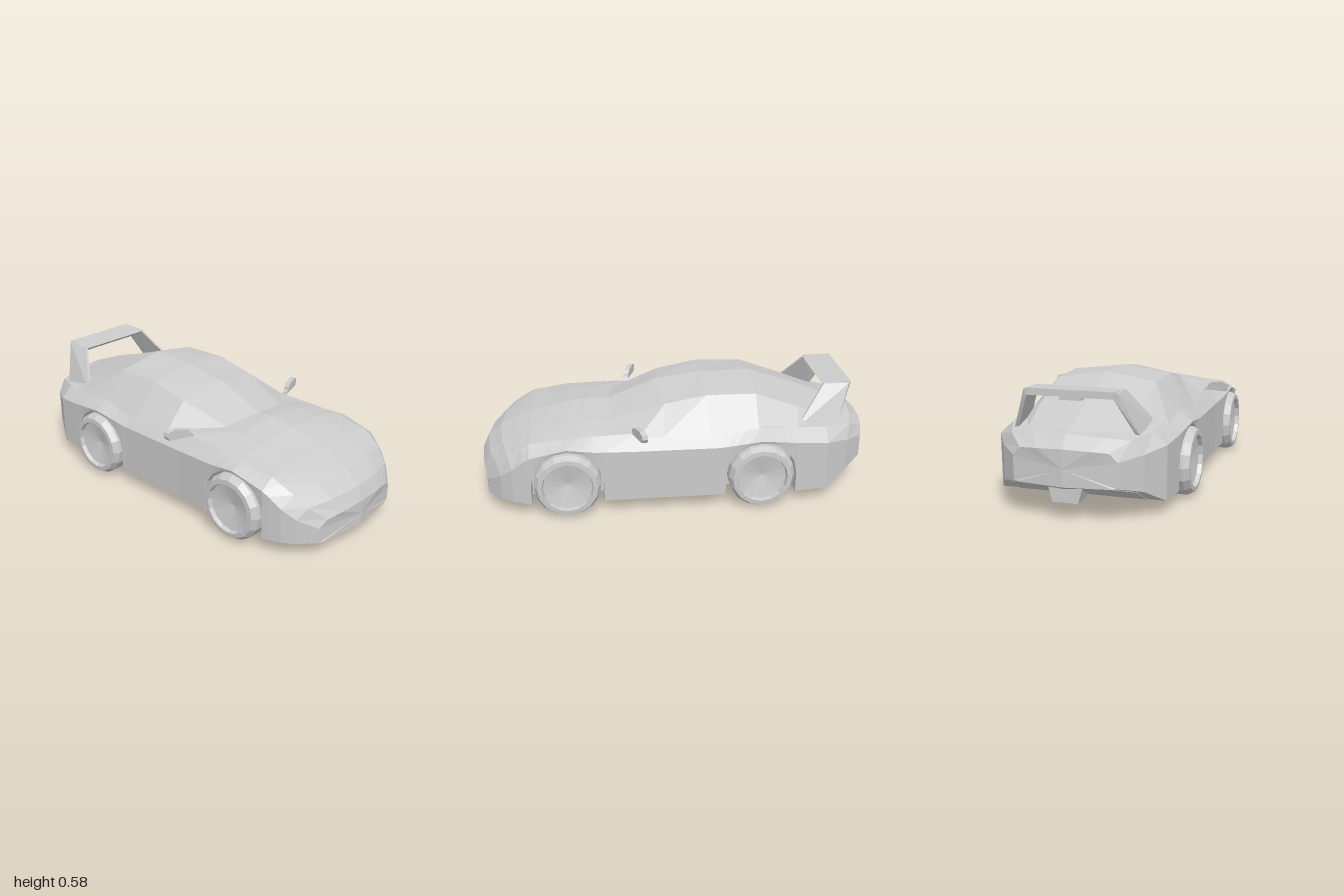
import * as THREE from 'three';
import { ConvexGeometry } from 'three/addons/geometries/ConvexGeometry.js';

const material = new THREE.MeshStandardMaterial({ color: 0xcccccc, flatShading: true });
const thin = new THREE.MeshStandardMaterial({ color: 0xcccccc, flatShading: true, side: THREE.DoubleSide });

const WHEELS_Z = [0.56, -0.41];
const ARCH_R = 0.18, AXLE_Y = 0.167;

// Body sections, front to back: z, half width, top, shoulder, waist, floor, bow
const BODY = [
  [1.0, 0.28, 0.2, 0.185, 0.15, 0.07, 0.04],
  [0.97, 0.36, 0.265, 0.25, 0.2, 0.07, 0.08],
  [0.9, 0.4, 0.325, 0.305, 0.25, 0.07, 0.07],
  [0.81, 0.42, 0.365, 0.345, 0.3, 0.066, 0.04],
  [0.74, 0.428, 0.39, 0.365, 0.32, 0.065, 0],
  [0.56, 0.437, 0.438, 0.39, 0.36, 0.065, 0],
  [0.42, 0.432, 0.455, 0.395, 0.34, 0.065, 0],
  [0.2, 0.422, 0.425, 0.4, 0.33, 0.063, 0],
  [-0.2, 0.425, 0.425, 0.405, 0.33, 0.063, 0],
  [-0.41, 0.438, 0.43, 0.405, 0.36, 0.063, 0],
  [-0.6, 0.422, 0.43, 0.39, 0.335, 0.06, 0],
  [-0.75, 0.405, 0.415, 0.38, 0.32, 0.06, 0],
  [-0.94, 0.335, 0.385, 0.362, 0.3, 0.13, -0.07],
  [-1.0, 0.245, 0.33, 0.32, 0.28, 0.16, -0.035],
];

// Skins a list of equal-length rows of points, with optional end caps
function skin(rows, closed, caps) {
  const n = rows[0].length, pos = [];
  const tri = (...pts) => pts.forEach(p => pos.push(...p));
  for (let r = 0; r < rows.length - 1; r++) {
    for (let i = 0; i < (closed ? n : n - 1); i++) {
      const j = (i + 1) % n;
      const a = rows[r][i], b = rows[r][j], c = rows[r + 1][j], d = rows[r + 1][i];
      tri(a, b, d);
      tri(b, c, d);
    }
  }
  (caps || []).forEach((centre, k) => {
    const ring = rows[k ? rows.length - 1 : 0];
    for (let i = 0; i < n; i++) {
      const a = ring[i], b = ring[(i + 1) % n];
      if (k) tri(centre, a, b); else tri(centre, b, a);
    }
  });
  const g = new THREE.BufferGeometry();
  g.setAttribute('position', new THREE.Float32BufferAttribute(pos, 3));
  g.computeVertexNormals();
  return g;
}

function sectionAt(z) {
  let k = 0;
  while (k < BODY.length - 2 && BODY[k + 1][0] > z) k++;
  const a = BODY[k], b = BODY[k + 1], t = (z - a[0]) / (b[0] - a[0]);
  return a.map((v, i) => v + (b[i] - v) * t);
}

// Closed ring of one body section; lip is the lower edge of the flank
function bodyRing([z, w, top, shoulder, waist, floor, bow], lip) {
  const xi = Math.min(0.31, w * 0.9), edge = lip ?? floor + 0.003;
  const half = [
    [0, top], [w * 0.5, top * 0.55 + shoulder * 0.45], [w * 0.84, shoulder],
    [w, Math.max(waist, edge + 0.008)], [w * 0.99, edge], [xi, edge], [xi, floor], [0, floor],
  ];
  const ring = half.concat(half.slice(1, -1).reverse().map(([x, y]) => [-x, y]));
  return ring.map(([x, y]) => [x, y, z - bow * (x / w) ** 2]);
}

function bodyGeometry() {
  const stations = BODY.filter(s => WHEELS_Z.every(c => Math.abs(s[0] - c) > ARCH_R + 0.001))
    .map(s => ({ s }));
  // Wheel arches: flank edge follows a half circle over each wheel
  for (const c of WHEELS_Z) {
    for (let i = 0; i <= 8; i++) {
      const a = (i / 8) * Math.PI, z = c + ARCH_R * Math.cos(a);
      const s = sectionAt(z), arch = { s, lip: AXLE_Y + ARCH_R * Math.sin(a) };
      if (i === 0) stations.push({ s });
      stations.push(arch);
      if (i === 8) stations.push({ s });
    }
  }
  stations.sort((a, b) => b.s[0] - a.s[0]);
  return skin(stations.map(({ s, lip }) => bodyRing(s, lip)), true, [[0, 0.13, 1.0], [0, 0.24, -1.0]]);
}

// Cabin rows: centre, roof edge and window base as [x, y, z]
function cabinGeometry() {
  const rows = [
    [[0, 0.435, 0.375], [0.2, 0.415, 0.33], [0.375, 0.385, 0.2]],
    [[0, 0.545, 0.09], [0.25, 0.505, 0.06], [0.385, 0.385, 0.08]],
    [[0, 0.575, -0.15], [0.255, 0.545, -0.15], [0.385, 0.385, -0.15]],
    [[0, 0.58, -0.4], [0.25, 0.54, -0.4], [0.385, 0.385, -0.4]],
    [[0, 0.49, -0.66], [0.25, 0.46, -0.62], [0.37, 0.38, -0.6]],
    [[0, 0.382, -0.93], [0.22, 0.37, -0.87], [0.33, 0.365, -0.76]],
  ];
  return skin(rows.map(([c, m, b]) =>
    [[-b[0], b[1], b[2]], [-m[0], m[1], m[2]], c, m, b]), false);
}

function wheelGeometry() {
  const profile = [[0, 0.318], [0.165, 0.318], [0.167, 0.43], [0.15, 0.46], [0.127, 0.462], [0.122, 0.44], [0, 0.415]];
  return new THREE.LatheGeometry(profile.map(p => new THREE.Vector2(...p)), 16);
}

const hull = pts => new ConvexGeometry(pts.map(p => new THREE.Vector3(...p)));

// Mirror housing, swept back towards its outer end
function mirrorGeometry(side) {
  const outline = [[0.37, 0.405], [0.48, 0.405], [0.493, 0.425], [0.488, 0.445], [0.455, 0.456], [0.39, 0.445], [0.375, 0.432]];
  return hull(outline.flatMap(([x, y]) => [0, 0.028].map(d => [side * x, y, 0.215 - (x - 0.35) * 0.35 + d])));
}

export function createModel() {
  const car = new THREE.Group();
  const add = (name, geometry, mat = material) => {
    const mesh = new THREE.Mesh(geometry, mat);
    mesh.name = name;
    car.add(mesh);
    return mesh;
  };

  add('body', bodyGeometry());
  add('cabin', cabinGeometry(), thin);

  for (const side of [1, -1]) {
    const label = side > 0 ? 'left' : 'right';
    WHEELS_Z.forEach((z, i) => {
      const wheel = add(label + (i ? 'RearWheel' : 'FrontWheel'), wheelGeometry());
      wheel.rotation.z = -side * Math.PI / 2;
      wheel.position.set(0, AXLE_Y, z);
    });
    add(label + 'Mirror', mirrorGeometry(side));
    add(label + 'MirrorStem', hull([[0.345, 0.39], [0.355, 0.41], [0.385, 0.412], [0.38, 0.425]]
      .flatMap(([x, y]) => [0.212, 0.232].map(z => [side * x, y, z]))));
    // Slanted spoiler support
    add(label + 'SpoilerFin', hull([
      [0.2, 0.565, -0.76], [0.215, 0.565, -0.76], [0.2, 0.57, -0.9], [0.22, 0.565, -0.89],
      [0.2, 0.545, -0.9], [0.325, 0.38, -0.61], [0.31, 0.38, -0.61], [0.3, 0.37, -0.82], [0.28, 0.37, -0.82],
    ].map(([x, y, z]) => [side * x, y, z])));
  }

  // Spoiler blade and the small lamp beneath it
  add('spoilerBlade', hull([-0.21, 0.21].flatMap(x =>
    [[0.563, -0.75], [0.572, -0.9], [0.54, -0.9], [0.545, -0.77]].map(([y, z]) => [x, y, z]))));
  add('spoilerLamp', new THREE.BoxGeometry(0.1, 0.02, 0.05)).position.set(0, 0.535, -0.87);

  // Exhaust, narrowing downwards
  add('exhaust', hull([[0.085, 0.17, -0.84, -0.965], [0.06, 0.08, -0.86, -0.965]].flatMap(([x, y, z0, z1]) =>
    [[x, y, z0], [-x, y, z0], [x, y, z1], [-x, y, z1]])));

  return car;
}
